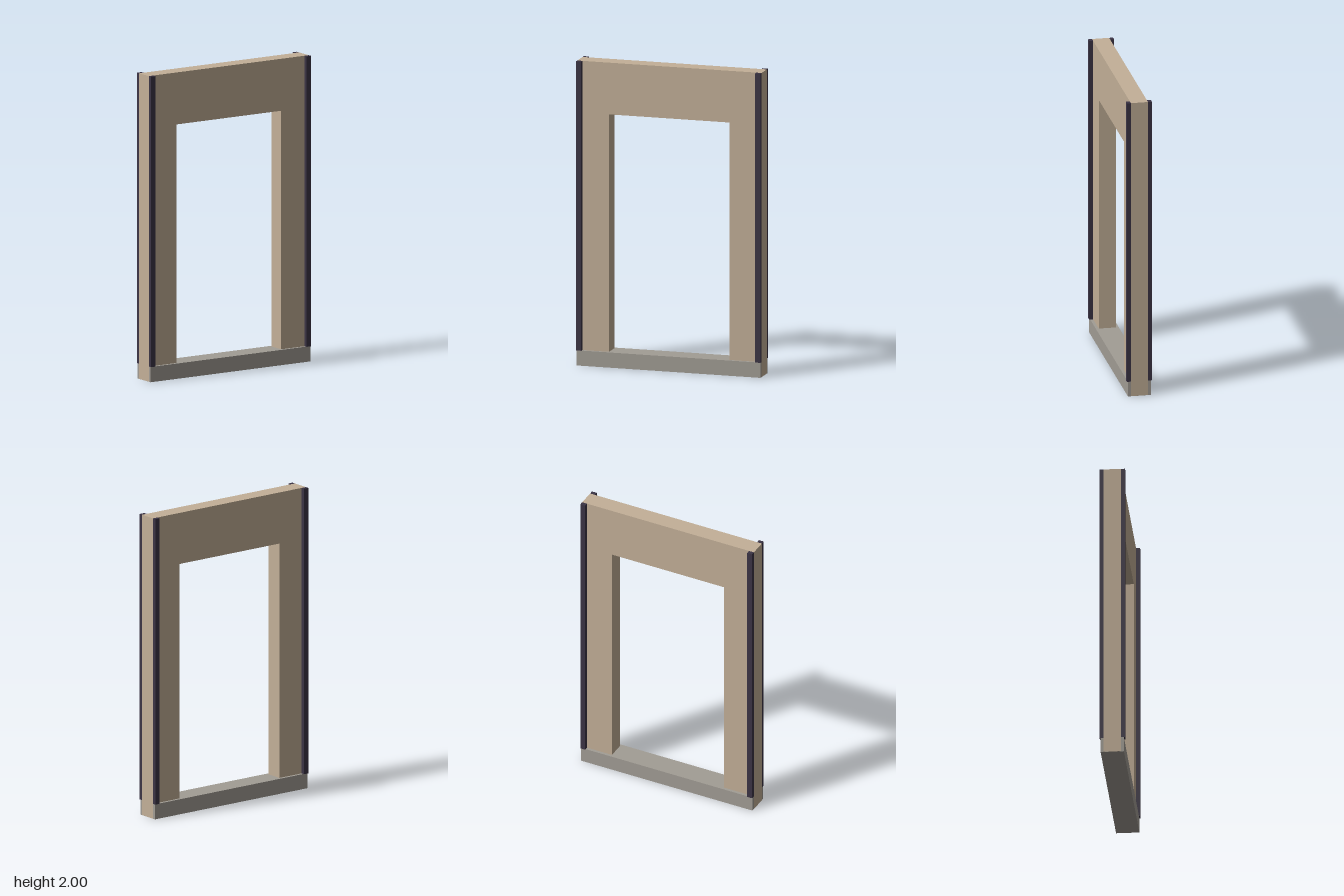
import * as THREE from 'three';

const wallMat = new THREE.MeshStandardMaterial({ name: 'warm beige', color: 0xc3b098 });
const sillMat = new THREE.MeshStandardMaterial({ name: 'stone grey', color: 0xa29d95 });
const trimMat = new THREE.MeshStandardMaterial({ name: 'dark plum', color: 0x3b3445 });

// Box given by its minimum and maximum corners
function box(name, mat, [x0, y0, z0], [x1, y1, z1]) {
  const mesh = new THREE.Mesh(new THREE.BoxGeometry(x1 - x0, y1 - y0, z1 - z0), mat);
  mesh.position.set((x0 + x1) / 2, (y0 + y1) / 2, (z0 + z1) / 2);
  mesh.name = name;
  return mesh;
}

export function createModel() {
  const group = new THREE.Group();
  group.name = 'doorway';

  const W = 0.62, H = 2, wallZ = 0.056, sillZ = 0.075, trimZ = 0.082;
  const openX = 0.405, openY = 1.66, sillY = 0.1, trimX = 0.585;

  // Wall panel with the door opening, one arch-shaped outline
  const outline = new THREE.Shape([
    [-W, 0.001], [-openX, 0.001], [-openX, openY], [openX, openY],
    [openX, 0.001], [W, 0.001], [W, H], [-W, H],
  ].map(([x, y]) => new THREE.Vector2(x, y)));
  const wallGeo = new THREE.ExtrudeGeometry(outline, { depth: 2 * wallZ, bevelEnabled: false });
  wallGeo.translate(0, 0, -wallZ);
  const wall = new THREE.Mesh(wallGeo, wallMat);
  wall.name = 'wallPanel';
  group.add(wall);

  // Threshold, its ends set a hair inside the wall ends
  group.add(box('threshold', sillMat, [-W + 0.001, 0, -sillZ], [W - 0.001, sillY, sillZ]));

  // Dark edge strips on both faces at both sides
  for (const sx of [-1, 1]) for (const sz of [-1, 1]) {
    const name = (sx > 0 ? 'left' : 'right') + (sz > 0 ? 'Front' : 'Back') + 'EdgeStrip';
    const xs = [sx * trimX, sx * W].sort((a, b) => a - b);
    const zs = [sz * wallZ, sz * trimZ].sort((a, b) => a - b);
    group.add(box(name, trimMat, [xs[0], sillY, zs[0]], [xs[1], H, zs[1]]));
  }
  return group;
}
